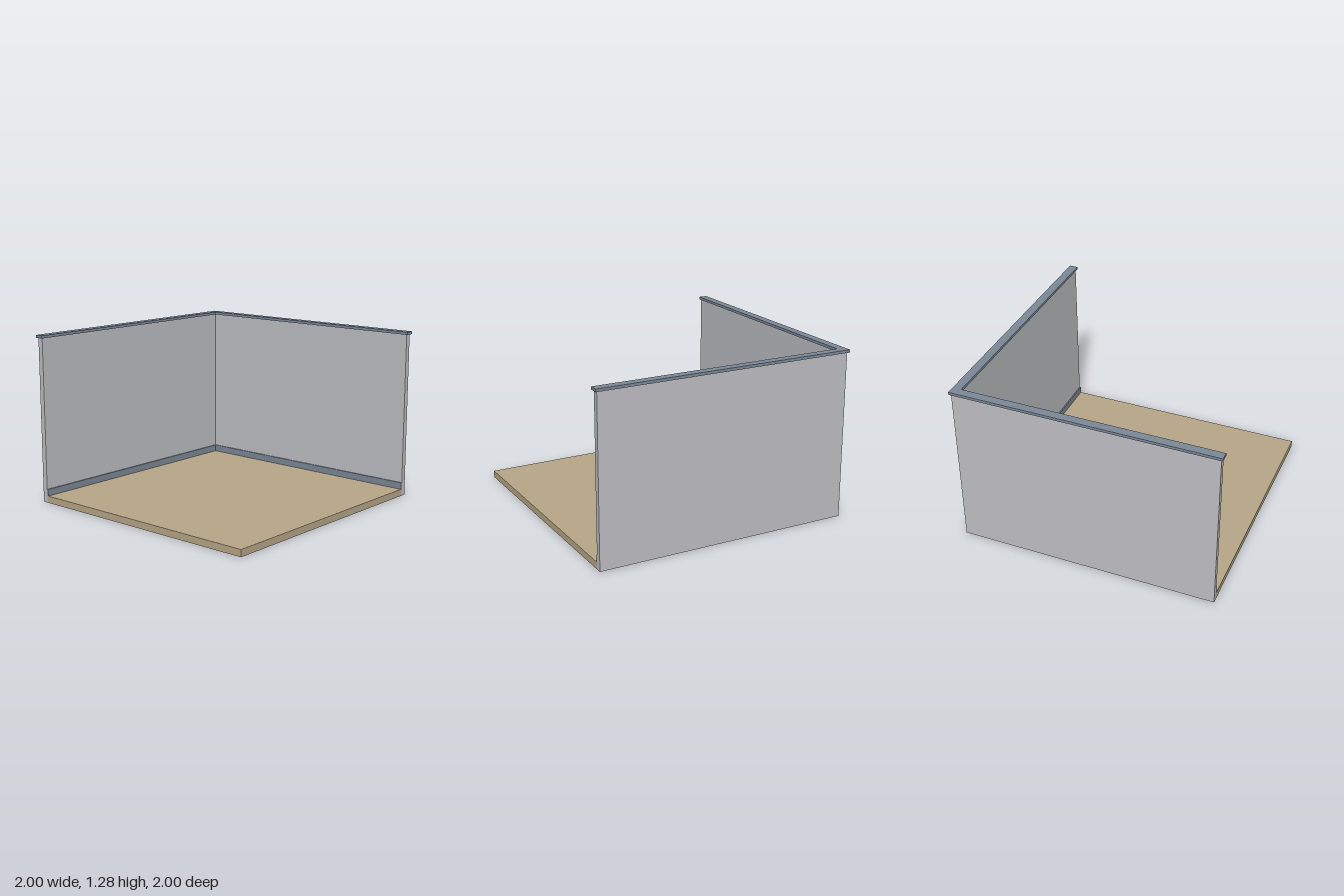
import * as THREE from 'three';

const material = (name, color) => {
  const m = new THREE.MeshStandardMaterial({ color });
  m.name = name;
  return m;
};

// L-shaped strip along the back and the -x side, from height y0 to y1
function cornerStrip(name, outer, inner, end, y0, y1, mat) {
  const corners = [
    [outer, outer], [end, outer], [end, inner],
    [inner, inner], [inner, end], [outer, end],
  ];
  const shape = new THREE.Shape(corners.map(([x, z]) => new THREE.Vector2(x, -z)));
  const geometry = new THREE.ExtrudeGeometry(shape, { depth: y1 - y0, bevelEnabled: false });
  geometry.rotateX(-Math.PI / 2);
  geometry.translate(0, y0, 0);
  const mesh = new THREE.Mesh(geometry, mat);
  mesh.name = name;
  return mesh;
}

export function createModel() {
  const wallGrey = material('wallGrey', 0xbebfc3);
  const trimBlue = material('trimBlueGrey', 0x7c8897);
  const floorTan = material('floorTan', 0xb7a687);

  const room = new THREE.Group();
  room.name = 'roomCorner';

  // Floor slab, fitted inside the walls
  const inner = -0.945, end = 0.987, floorTop = 0.053;
  const size = end - inner, mid = (end + inner) / 2;
  const floor = new THREE.Mesh(new THREE.BoxGeometry(size, floorTop, size), floorTan);
  floor.position.set(mid, floorTop / 2, mid);
  floor.name = 'floor';
  room.add(floor);

  // Two joined walls, the skirting at their foot and the capping on top
  room.add(
    cornerStrip('walls', -0.987, inner, end, 0, 1.263, wallGrey),
    cornerStrip('skirting', inner, -0.935, end, floorTop, 0.105, trimBlue),
    cornerStrip('topRail', -1, -0.934, 1, 1.263, 1.284, trimBlue),
  );
  return room;
}
